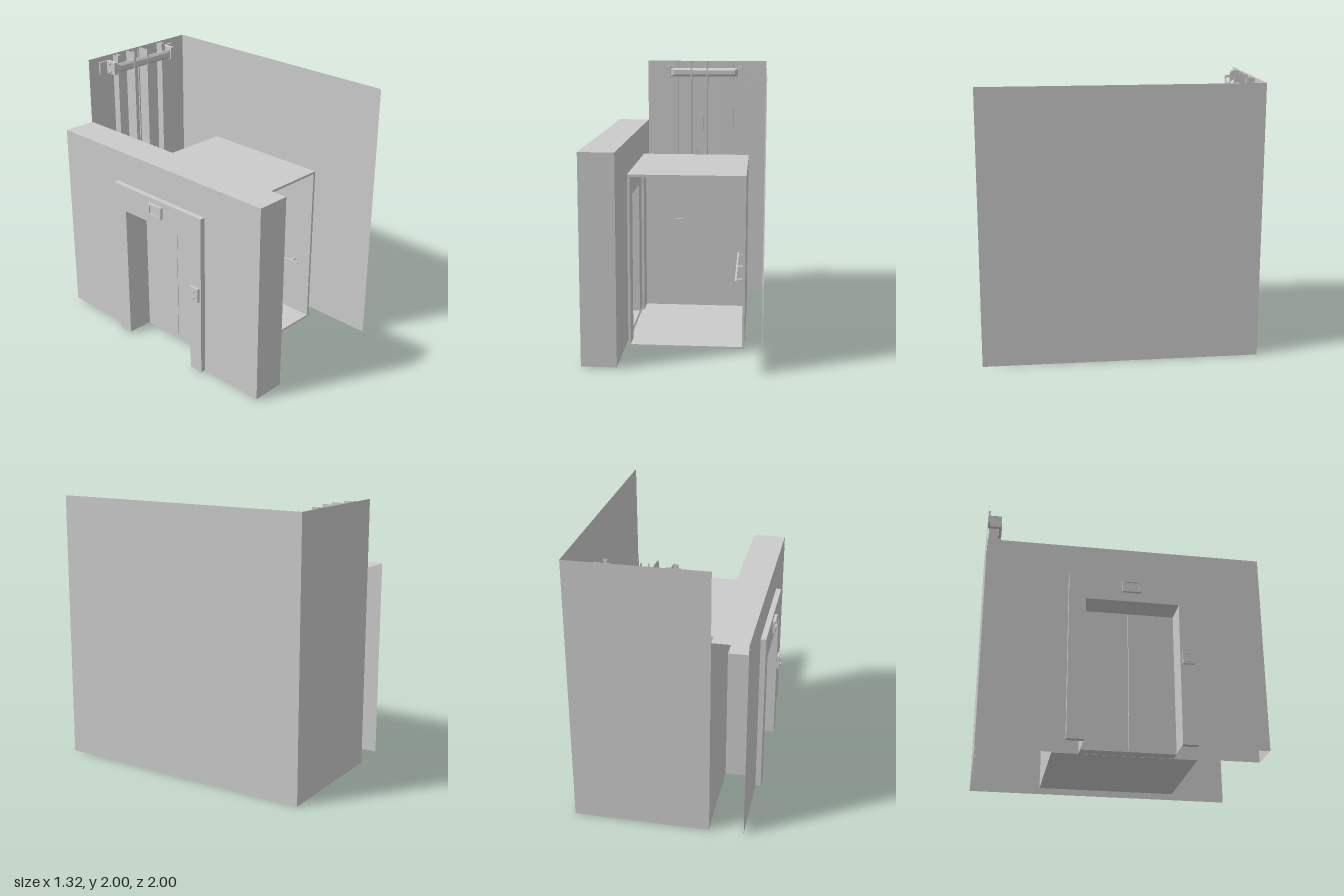
import * as THREE from 'three';

const mat = new THREE.MeshStandardMaterial({ color: 0xcccccc, side: THREE.DoubleSide, flatShading: true });

export function createModel() {
  const root = new THREE.Group();
  const add = (name, geo, parent = root) => {
    const m = new THREE.Mesh(geo, mat);
    m.name = name;
    parent.add(m);
    return m;
  };
  const group = (name) => {
    const g = new THREE.Group();
    g.name = name;
    root.add(g);
    return g;
  };
  // Box given by its limits on each axis
  const box = (name, [x0, x1], [y0, y1], [z0, z1], parent) =>
    add(name, new THREE.BoxGeometry(x1 - x0, y1 - y0, z1 - z0), parent)
      .position.set((x0 + x1) / 2, (y0 + y1) / 2, (z0 + z1) / 2);
  // Thin four-cornered panel
  const quad = (name, corners, parent) => {
    const g = new THREE.BufferGeometry();
    g.setAttribute('position', new THREE.Float32BufferAttribute(corners.flat(), 3));
    g.setIndex([0, 1, 2, 0, 2, 3]);
    g.computeVertexNormals();
    return add(name, g, parent);
  };
  // Portal outline in the z-y plane: a rectangle with a doorway open at the bottom
  const portal = (z0, z1, top, a, b, head, y0 = 0.01) => {
    const pts = [[z0, y0], [a, y0], [a, head], [b, head], [b, y0], [z1, y0], [z1, top], [z0, top]];
    return new THREE.Shape(pts.map((p) => new THREE.Vector2(...p)));
  };
  // Stand a portal upright at x, thickened towards -x
  const portalMesh = (name, shape, x, depth, parent) => {
    const geo = depth
      ? new THREE.ExtrudeGeometry(shape, { depth, bevelEnabled: false })
      : new THREE.ShapeGeometry(shape);
    geo.rotateY(-Math.PI / 2);
    add(name, geo, parent).position.x = x;
  };
  // Open vertical strip following a path of [x, z] points
  const strip = (name, path, y0, y1, parent) => {
    const pos = [], idx = [];
    path.forEach(([x, z], i) => {
      pos.push(x, y0, z, x, y1, z);
      if (i) idx.push(2 * i - 2, 2 * i, 2 * i - 1, 2 * i, 2 * i + 1, 2 * i - 1);
    });
    const g = new THREE.BufferGeometry();
    g.setAttribute('position', new THREE.Float32BufferAttribute(pos, 3));
    g.setIndex(idx);
    g.computeVertexNormals();
    add(name, g, parent);
  };

  // Shaft: two thin walls
  const shaft = group('shaftWalls');
  quad('sideWall', [[0.655, 0, 1], [0.655, 0, -1], [0.655, 2, -1], [0.655, 2, 1]], shaft);
  quad('backWall', [[-0.34, 0, -1], [-0.34, 2, -1], [0.655, 2, -1], [0.655, 0, -1]], shaft);

  // Hollow entrance wall, open below and at the back end
  const A = -0.29, B = 0.38, HEAD = 1.06;
  const xo = -0.59, xi = -0.34, xd = -0.43, xf = -0.63;
  const wall = group('entranceWall');
  for (const x of [xo, xi]) portalMesh('wallFace', portal(-1, 1, 1.5, A, B, HEAD), x, 0, wall);
  quad('wallTop', [[xo, 1.5, 1], [xi, 1.5, 1], [xi, 1.5, -1], [xo, 1.5, -1]], wall);
  quad('wallEnd', [[xo, 0.01, 1], [xi, 0.01, 1], [xi, 1.5, 1], [xo, 1.5, 1]], wall);
  for (const z of [A, B]) quad('doorReveal', [[xo, 0.01, z], [xi, 0.01, z], [xi, HEAD, z], [xo, HEAD, z]], wall);
  quad('headReveal', [[xo, HEAD, A], [xi, HEAD, A], [xi, HEAD, B], [xo, HEAD, B]], wall);

  // Door surround, sliding doors and sill
  const entrance = group('landingEntrance');
  portalMesh('doorSurround', portal(-0.41, 0.49, 1.26, A, B, HEAD), xo, xo - xf, entrance);
  const mid = (A + B) / 2;
  for (const [z0, z1] of [[A, mid - 0.002], [mid + 0.002, B]])
    box('landingDoor', [xd, xd + 0.02], [0.01, HEAD], [z0, z1], entrance);
  box('doorSill', [xd, xi], [0.005, 0.015], [A, B], entrance);

  // Floor display above the door
  const display = group('floorDisplay');
  const rim = new THREE.Shape([[-0.03, 1.13], [0.11, 1.13], [0.11, 1.22], [-0.03, 1.22]].map((p) => new THREE.Vector2(...p)));
  rim.holes.push(new THREE.Path([[-0.01, 1.145], [-0.01, 1.205], [0.09, 1.205], [0.09, 1.145]].map((p) => new THREE.Vector2(...p))));
  portalMesh('displayRim', rim, xf, 0.02, display);
  box('displayScreen', [xf - 0.01, xf], [1.145, 1.205], [-0.01, 0.09], display);

  // Call panel with two buttons
  const call = group('callPanel');
  box('callPlate', [xf - 0.02, xf], [0.6, 0.71], [0.395, 0.475], call);
  for (const y of [0.625, 0.68]) {
    const b = add('callButton', new THREE.CylinderGeometry(0.013, 0.013, 0.012, 16), call);
    b.rotation.z = Math.PI / 2;
    b.position.set(xf - 0.024, y, 0.435);
  }

  // Cabin, open at the front, with a doorway towards the entrance wall
  const cabin = group('cabin');
  const X = [-0.32, 0.525], Z = [-0.475, 0.555], t = 0.018;
  box('cabinFloor', X, [0.01, 0.025], Z, cabin);
  box('cabinRoof', X, [1.262, 1.28], Z, cabin);
  box('cabinBack', X, [0.025, 1.262], [Z[0], Z[0] + t], cabin);
  box('cabinSide', [X[1] - t, X[1]], [0.025, 1.262], Z, cabin);
  portalMesh('cabinDoorway', portal(Z[0] + t, Z[1], 1.262, -0.29, 0.41, 1.15, 0.025), X[0] + t, t, cabin);
  box('wallPanel', [-0.195, 0.02], [0.385, 0.755], [Z[0] + t, Z[0] + t + 0.005], cabin);
  box('handrail', [0.447, 0.46], [0.483, 0.497], [-0.4, 0.48], cabin);
  for (const z of [-0.33, 0.04, 0.41])
    box('railMount', [0.455, X[1] - t], [0.485, 0.495], [z - 0.01, z + 0.01], cabin);

  // Guide rails on the back wall
  const rails = group('guideRails');
  for (const x of [-0.095, 0.367])
    strip('guideRail', [[x - 0.05, -0.985], [x - 0.017, -0.985], [x - 0.017, -0.925],
      [x + 0.017, -0.925], [x + 0.017, -0.985], [x + 0.05, -0.985]], 0.01, 2, rails);
  for (const x of [0.03, 0.163])
    strip('slimRail', [[x - 0.006, -0.985], [x - 0.006, -0.886], [x + 0.006, -0.886], [x + 0.006, -0.985]], 0.01, 2, rails);
  for (const x of [0.075, 0.125])
    strip('cable', [[x - 0.005, -0.96], [x - 0.005, -0.95], [x + 0.005, -0.95], [x + 0.005, -0.96]], 0.01, 2, rails);

  // Cross beam held by a mirrored pair of angle brackets
  const beam = group('crossBeam');
  const c = 0.14;
  for (const s of [-1, 1]) {
    const span = (a, b) => [c + s * a, c + s * b].sort((p, q) => p - q);
    box('bracketFlange', span(0.29, 0.382), [1.865, 1.96], [-1, -0.985], beam);
    box('bracketArm', span(0.282, 0.315), [1.865, 1.96], [-0.995, -0.895], beam);
    for (const y of [1.88, 1.945])
      box('bracketBolt', span(0.315, 0.328), [y - 0.007, y + 0.007], [-0.95, -0.936], beam);
  }
  box('beamPlate', [-0.14, 0.42], [1.875, 1.945], [-0.912, -0.902], beam);
  // Front of the beam tapers towards its face
  const taper = new THREE.BoxGeometry(0.56, 0.07, 0.014);
  const p = taper.attributes.position;
  for (let i = 0; i < p.count; i++)
    if (p.getZ(i) > 0) p.setXY(i, p.getX(i) * 0.9, p.getY(i) * 0.5);
  taper.computeVertexNormals();
  add('beamFace', taper, beam).position.set(c, 1.91, -0.895);

  return root;
}
